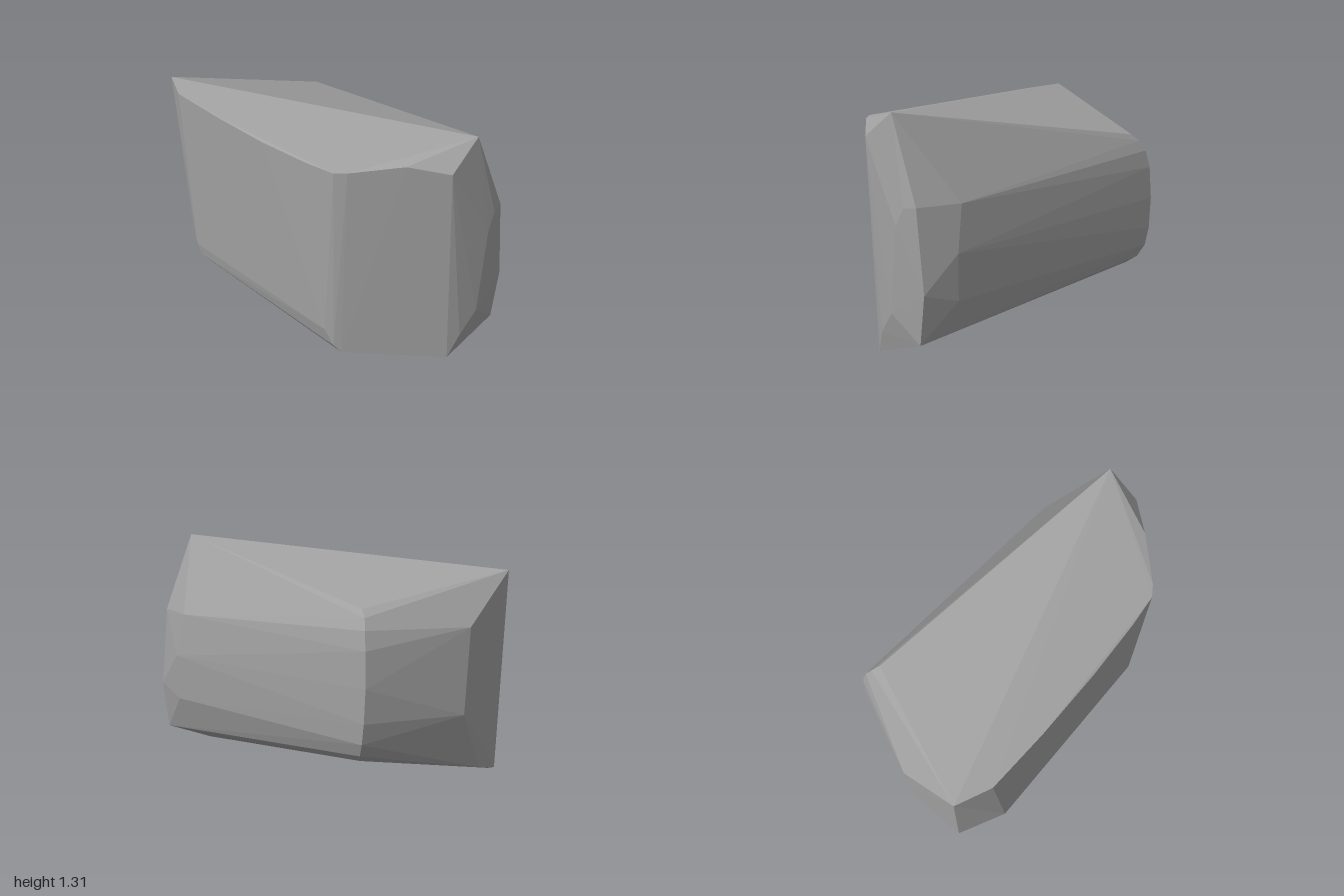
import * as THREE from 'three';
import { ConvexGeometry } from 'three/addons/geometries/ConvexGeometry.js';

const toVectors = (list) => list.map(([x, y, z]) => new THREE.Vector3(x, y, z));

export function createModel() {
  const group = new THREE.Group();
  group.name = 'rock';
  const stone = new THREE.MeshStandardMaterial({ color: 0xa0a0a0 });
  stone.name = 'grey stone';

  // Blunt front end, from the peak down to the lowest corner
  const front = [
    [0.11, 1.31, 0.945], [-0.08, 1.165, 0.955], [0.30, 0.86, 0.97], [0.345, 0.41, 0.97],
    [0.305, 0.13, 0.965], [-0.03, 0, 0.95], [0.23, 0.85, 0.99], [0.18, 0.75, 1],
    [0.13, 0.27, 1], [0.03, 0.14, 0.98],
  ];
  // Bevel running along the front of the long right side
  const frontBevel = [[0.38, 0.85, 0.73], [0.4, 0.6, 0.78], [0.39, 0.34, 0.77]];
  // Rounded upright corner at the back
  const roundedCorner = [
    [0.43, 0.99, -0.65], [0.46, 0.95, -0.69], [0.49, 0.89, -0.715], [0.51, 0.79, -0.735],
    [0.52, 0.6, -0.745], [0.52, 0.42, -0.735], [0.51, 0.31, -0.715], [0.48, 0.24, -0.68],
    [0.43, 0.2, -0.645],
  ];
  // Flat back end
  const back = [
    [-0.41, 1.155, -1], [-0.04, 0.88, -1], [0, 0.42, -0.995],
    [-0.18, 0.1, -0.98], [-0.35, 0.065, -0.975], [-0.36, 0.05, -0.93],
  ];
  // Upper and lower edges of the broad side
  const broadSide = [
    [-0.5, 1.14, -0.8], [-0.52, 1.14, -0.42], [-0.525, 1.14, 0], [-0.515, 1.15, 0.35],
    [-0.5, 1.16, 0.54], [-0.46, 1.17, 0.6], [-0.25, 1.21, 0.8],
    [-0.51, 0.17, 0.48], [-0.49, 0.08, 0.53], [-0.46, 0.035, 0.56],
    [-0.5, 0.15, -0.72], [-0.49, 0.08, -0.69], [-0.46, 0.043, -0.66],
  ];

  const body = new THREE.Mesh(
    new ConvexGeometry(toVectors([...front, ...frontBevel, ...roundedCorner, ...back, ...broadSide])),
    stone,
  );
  body.name = 'boulder';
  group.add(body);
  return group;
}
